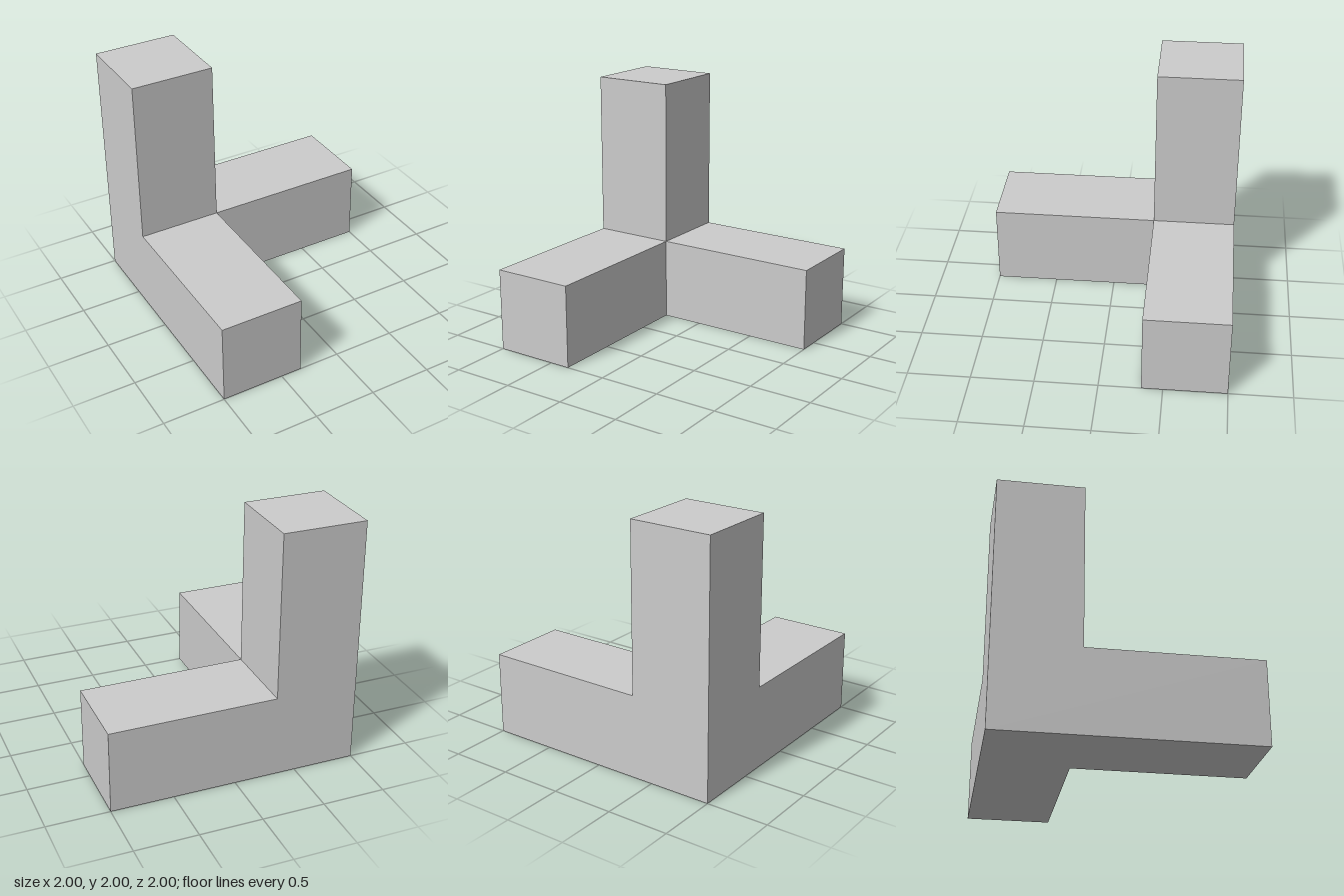
import * as THREE from 'three';
import { mergeGeometries } from 'three/addons/utils/BufferGeometryUtils.js';

const LENGTH = 2;
const THICK = 2 / 3;

// Faces belonging to the arm along z, with the shared corner at the origin
function armFaces() {
  const reach = LENGTH - THICK;
  const mid = THICK + reach / 2;

  // L-shaped outer wall on z = 0, turned to face -z
  const outline = [[0, 0], [LENGTH, 0], [LENGTH, THICK], [THICK, THICK], [THICK, LENGTH], [0, LENGTH]];
  const wall = new THREE.ShapeGeometry(new THREE.Shape(outline.map(([x, y]) => new THREE.Vector2(x, y))));
  const diagonal = new THREE.Vector3(1, 1, 0).normalize();
  wall.applyMatrix4(new THREE.Matrix4().makeRotationAxis(diagonal, Math.PI));

  // Square end and the two inner sides
  const end = new THREE.PlaneGeometry(THICK, THICK).translate(THICK / 2, THICK / 2, LENGTH);
  const sideX = new THREE.PlaneGeometry(reach, THICK).rotateY(Math.PI / 2).translate(THICK, THICK / 2, mid);
  const sideY = new THREE.PlaneGeometry(THICK, reach).rotateX(-Math.PI / 2).translate(THICK / 2, THICK, mid);

  return mergeGeometries([wall, end, sideX, sideY]);
}

export function createModel() {
  const group = new THREE.Group();
  group.name = 'cornerBlock';
  const material = new THREE.MeshStandardMaterial({ color: 0xcccccc, flatShading: true });

  // Cycle the axes x -> y -> z -> x to make each arm in turn
  const cycle = new THREE.Matrix4().makeBasis(
    new THREE.Vector3(0, 1, 0), new THREE.Vector3(0, 0, 1), new THREE.Vector3(1, 0, 0));
  const turn = new THREE.Matrix4();
  for (const name of ['frontArm', 'sideArm', 'uprightArm']) {
    const arm = new THREE.Mesh(armFaces().applyMatrix4(turn), material);
    arm.name = name;
    arm.position.set(-LENGTH / 2, 0, -LENGTH / 2);
    group.add(arm);
    turn.premultiply(cycle);
  }
  return group;
}
